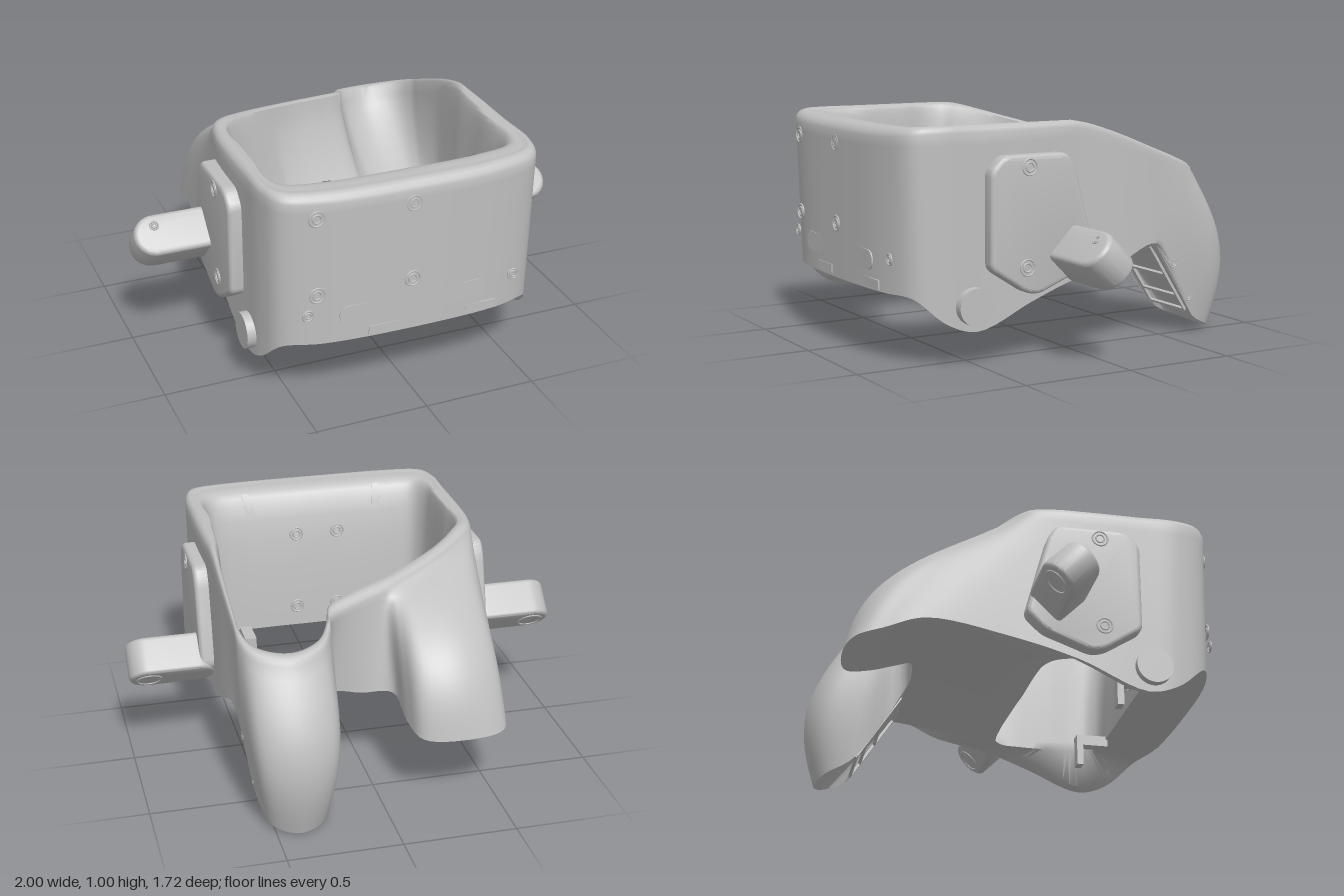
import * as THREE from 'three';
import { toCreasedNormals } from 'three/addons/utils/BufferGeometryUtils.js';

const V = (x, y, z) => new THREE.Vector3(x, y, z);
const { lerp, clamp } = THREE.MathUtils;

// Skin a list of equally long point rows, optionally closed both ways.
function skin(rows, closed, crease) {
  const n = rows[0].length, m = rows.length, idx = [];
  for (let i = 0; i < (closed ? m : m - 1); i++)
    for (let j = 0; j < (closed ? n : n - 1); j++) {
      const i2 = (i + 1) % m, j2 = (j + 1) % n;
      const a = i * n + j, b = i * n + j2, c = i2 * n + j, d = i2 * n + j2;
      idx.push(a, b, d, a, d, c);
    }
  const g = new THREE.BufferGeometry().setFromPoints(rows.flat());
  g.setIndex(idx);
  return toCreasedNormals(g, crease);
}

// Matching stations around the housing, from front centre past +x and the back.
const rimY = z => { const d = Math.max(0, -z); return 1.008 - 0.395 * d * d / (d + 0.06) - 1.2 * Math.max(0, z - .72) ** 2; };
const RIM = [[0, .855], [.4, .84], [.57, .79], [.615, .68], [.62, .5], [.62, .25], [.615, .05], [.61, -.2],
  [.6, -.45], [.595, -.54], [.55, -.63], [.4, -.685], [.26, -.635], [.2, -.54], [.175, -.46],
  [.05, -.395], [-.08, -.345], [-.14, -.32], [-.2, -.29], [-.33, -.22], [-.45, -.14], [-.54, -.06], [-.585, 0], [-.61, .1],
  [-.62, .25], [-.62, .5], [-.615, .68], [-.57, .79], [-.4, .84]];
const BASE = [[0, .31, .85], [.4, .31, .83], [.56, .3, .77], [.61, .19, .64], [.62, .15, .5], [.625, .25, .25],
  [.62, .32, .05], [.62, .375, -.2], [.6, .44, -.42], [.55, .09, -.645], [.505, .025, -.765], [.395, .004, -.81],
  [.285, .025, -.765], [.235, .09, -.645], [.19, .44, -.42], [.03, .43, -.42], [-.1, .43, -.45], [-.12, .37, -.62],
  [-.16, .34, -.735], [-.34, .335, -.775], [-.52, .34, -.735], [-.56, .37, -.62], [-.585, .42, -.45], [-.605, .36, -.1],
  [-.625, .27, .2], [-.62, .15, .5], [-.61, .19, .64], [-.56, .3, .77], [-.4, .31, .83]];
const HOLE = [[0, .57], [.3, .57], [.46, .56], [.5, .52], [.515, .45], [.515, .32], [.51, .18], [.5, .1],
  [.46, .06], [.43, .053], [.39, .05], [.33, .05], [.27, .05], [.22, .052], [.17, .055],
  [.07, .06], [-.02, .065], [-.08, .07], [-.14, .072], [-.25, .075], [-.34, .08], [-.42, .09], [-.48, .12], [-.515, .18],
  [-.52, .26], [-.52, .45], [-.5, .52], [-.46, .56], [-.3, .57]];
// Outward swelling of the two rear grips, by station
const SWELL = { 9: [.02, 0, -.02], 10: [.03, 0, -.095], 11: [0, 0, -.11], 12: [-.04, 0, -.095], 13: [-.025, 0, -.02],
  17: [.01, .03, -.05], 18: [.02, .04, -.1], 19: [0, .05, -.125], 20: [-.015, .04, -.1], 21: [0, .03, -.05] };
const N = RIM.length;
const loop = pts => new THREE.CatmullRomCurve3(pts, true);
const rimCurve = loop(RIM.map(([x, z]) => V(x, rimY(z), z)));
const baseCurve = loop(BASE.map(p => V(...p)));
const holeCurve = loop(HOLE.map(([x, z]) => V(x, .32, z)));
const swellCurve = new THREE.CatmullRomCurve3(RIM.map((_, i) => V(...(SWELL[i] || [0, 0, 0]))), true, 'catmullrom');
const at = (curve, s) => curve.getPoint((((s % N) + N) % N) / N);

// Outer wall: k = 0 at the base, 1 just under the rim.
function outer(s, k) {
  const r = at(rimCurve, s);
  r.y -= 0.03;
  return at(baseCurve, s).lerp(r, k).addScaledVector(at(swellCurve, s), Math.sin(Math.PI * k));
}
// Rounded rim, measured inwards from its outer edge.
function crest(s, dist, drop) {
  const r = at(rimCurve, s), h = at(holeCurve, s);
  const q = dist / Math.hypot(r.x - h.x, r.z - h.z), z = lerp(r.z, h.z, q);
  return V(lerp(r.x, h.x, q), lerp(r.y, rimY(z), r.z > 0 ? 1 : .5) - drop, z);
}
// Bowl wall: k = 0 at the inner rim edge, 1 at the bottom opening.
function inner(s, k) {
  const a = crest(s, 0.065, 0.008), h = at(holeCurve, s);
  const e = lerp(0.65, 4.5, clamp((a.z + 0.2) / 0.8, 0, 1));
  return V(lerp(a.x, h.x, k), lerp(a.y, h.y, Math.pow(k, e)), lerp(a.z, h.z, k));
}
// Fold line of the underside: inner edge of the side skirts, root of the grips.
function fold(s) {
  const b = at(baseCurve, s), h = at(holeCurve, s);
  if (b.z < -.42) return V(b.x, .435, -.42);
  const q = .45 * clamp((b.z + .42) / .4, 0, 1);
  return V(lerp(b.x, h.x, q), lerp(b.y, h.y, q * .2), lerp(b.z, h.z, q));
}
function housing() {
  const rows = [];
  const row = f => rows.push(Array.from({ length: N * 6 }, (_, i) => f(i / 6)));
  row(fold);
  for (let k = 0; k <= 1; k += 0.0625) row(s => outer(s, k));
  for (const [d, drop] of [[.006, .016], [.018, .005], [.035, 0], [.05, .002]]) row(s => crest(s, d, drop));
  for (const k of [0, .03, .07, .12, .2, .3, .4, .5, .6, .7, .8, .88, .94, .98, 1]) row(s => inner(s, k));
  return skin(rows, true, 0.95);
}
// Thin pill-shaped inlay following one of the walls.
function inlay(f, s0, s1, k0, k1, off) {
  const rows = [];
  for (let i = 0; i <= 4; i++) rows.push(Array.from({ length: 17 }, (_, j) => {
    const a = j / 8 - 1, w = Math.sqrt(1 - a ** 8);
    return f(lerp(s0, s1, j / 16), lerp(k0, k1, .5 + (i / 4 - .5) * w)).add(off);
  }));
  return skin(rows, false, 0.7);
}

// Outlines for the extruded parts
function stadium(w, h) {
  const s = new THREE.Shape(), r = h / 2, l = w / 2 - r;
  s.absarc(l, 0, r, -Math.PI / 2, Math.PI / 2);
  s.absarc(-l, 0, r, Math.PI / 2, Math.PI * 1.5);
  return s;
}
function softPolygon(pts, r) {
  const s = new THREE.Shape(), v = pts.map(p => new THREE.Vector2(...p));
  v.forEach((p, i) => {
    const prev = v[(i + v.length - 1) % v.length], next = v[(i + 1) % v.length];
    const a = p.clone().add(prev.clone().sub(p).setLength(r)), b = p.clone().add(next.clone().sub(p).setLength(r));
    if (i) s.lineTo(a.x, a.y); else s.moveTo(a.x, a.y);
    s.quadraticCurveTo(p.x, p.y, b.x, b.y);
  });
  s.closePath();
  return s;
}
const extrude = (shape, depth, bevel = 0) => toCreasedNormals(new THREE.ExtrudeGeometry(shape, {
  depth, curveSegments: 12, bevelEnabled: bevel > 0, bevelSize: bevel, bevelThickness: bevel, bevelSegments: 4, bevelOffset: -bevel }), 0.6);

export function createModel() {
  const model = new THREE.Group();
  const grey = new THREE.MeshStandardMaterial({ color: 0xc0c0c0, side: THREE.DoubleSide });
  grey.name = 'shell grey';
  const add = (name, geo, pos = [0, 0, 0], parent = model) => {
    const m = new THREE.Mesh(geo, grey);
    m.name = name;
    m.position.set(...pos);
    parent.add(m);
    return m;
  };

  // Housing with both rear grips in one skin
  add('housing', housing());

  // Tray on the flat face of the long grip
  const tray = new THREE.Group();
  tray.name = 'gripTray';
  tray.position.set(.39, .262, -.532);
  tray.rotation.x = .57;
  model.add(tray);
  for (const x of [-.13, .13]) add('trayRail', new THREE.BoxGeometry(.012, .36, .012), [x, 0, 0], tray);
  for (const y of [-.18, -.1, .02, .18]) add('trayRib', new THREE.BoxGeometry(.26, .012, .012), [0, y, 0], tray);

  // Slots in the back wall and holes in the front rim
  add('innerSlot', inlay(inner, 14.7, 18.7, .09, .22, V(0, .006, .005)));
  add('outerSlot', inlay(outer, 14.8, 18.6, .86, .93, V(0, .004, -.004)));
  for (const s of [-.95, .95]) add('rimHole', inlay(inner, s - .08, s + .08, .45, .7, V(0, .005, 0)));

  // Screw heads facing +z
  const screw = (x, y, z, r, parent = model) => {
    const g = new THREE.Group();
    g.name = 'screw';
    g.position.set(x, y, z);
    add('screwRing', new THREE.TorusGeometry(r, .004, 6, 24), [0, 0, 0], g);
    add('screwSocket', new THREE.TorusGeometry(r * .55, .004, 6, 16), [0, 0, 0], g);
    parent.add(g);
    return g;
  };
  const frontZ = x => .853 - .08 * x * x;
  for (const x of [-.43, -.01]) for (const y of [.9, .55]) screw(x, y, frontZ(x), .033);
  for (const x of [-.47, .47]) screw(x, .46, frontZ(x), .023);
  for (const x of [-.24, .24]) add('frontSlot', extrude(stadium(.19, .085), .006), [x, .435, frontZ(x) - .004]);
  for (const x of [-.135, .315]) add('frontNotch', new THREE.BoxGeometry(.14, .04, .008), [x, .34, frontZ(x) - .002]);
  for (const x of [-.1, .1]) for (const y of [.42, .8]) screw(x, y, .57, .03).rotation.y = Math.PI;

  // Side mounts with pivot caps and angled arms
  const outline = softPolygon([[-.47, .82], [-.41, .88], [-.1, .88], [-.06, .82], [.04, .45], [-.04, .37], [-.24, .29], [-.3, .3], [-.47, .41]], .03);
  for (const side of [1, -1]) {
    const lift = side > 0 ? 0 : .08;
    const mount = new THREE.Group();
    mount.name = side > 0 ? 'leftMount' : 'rightMount';
    model.add(mount);
    const plate = add('sidePlate', extrude(outline, .06, .02), [side > 0 ? .6 : -.66, 0, 0], mount);
    plate.rotation.y = Math.PI / 2;
    for (const [z, y] of [[.29, .83], [.3, .41]]) screw(side * .681, y, z, .034, mount).rotation.y = side * Math.PI / 2;

    const arm = new THREE.Group();
    arm.name = 'arm';
    arm.position.set(side * .8, .452 + lift, side > 0 ? .073 : .097);
    arm.rotation.x = -Math.PI / 4;
    mount.add(arm);
    add('armBody', extrude(stadium(.4, .185), .135, .02), [0, 0, -.0675], arm);
    add('armButton', new THREE.TorusGeometry(.055, .005, 6, 28), [side * .11, 0, -.0875], arm);
    screw(side * .105, .04, .0875, .018, arm);

    const cap = add('pivotCap', new THREE.CylinderGeometry(.08, .08, .05, 32), [side * .63, .26, .525], mount);
    cap.rotation.z = Math.PI / 2;
    add('innerPost', new THREE.BoxGeometry(.055, .13, .03), [side * .362, .25, .445], mount);
    add('postArm', new THREE.BoxGeometry(.055, .05, .15), [side * .362, .31, .505], mount);
  }
  // Small screws on the outer side of the long grip
  for (const [x, y, z] of [[.583, .345, -.515], [.562, .18, -.615]]) screw(x, y, z, .02).rotation.y = Math.PI / 2;
  return model;
}
